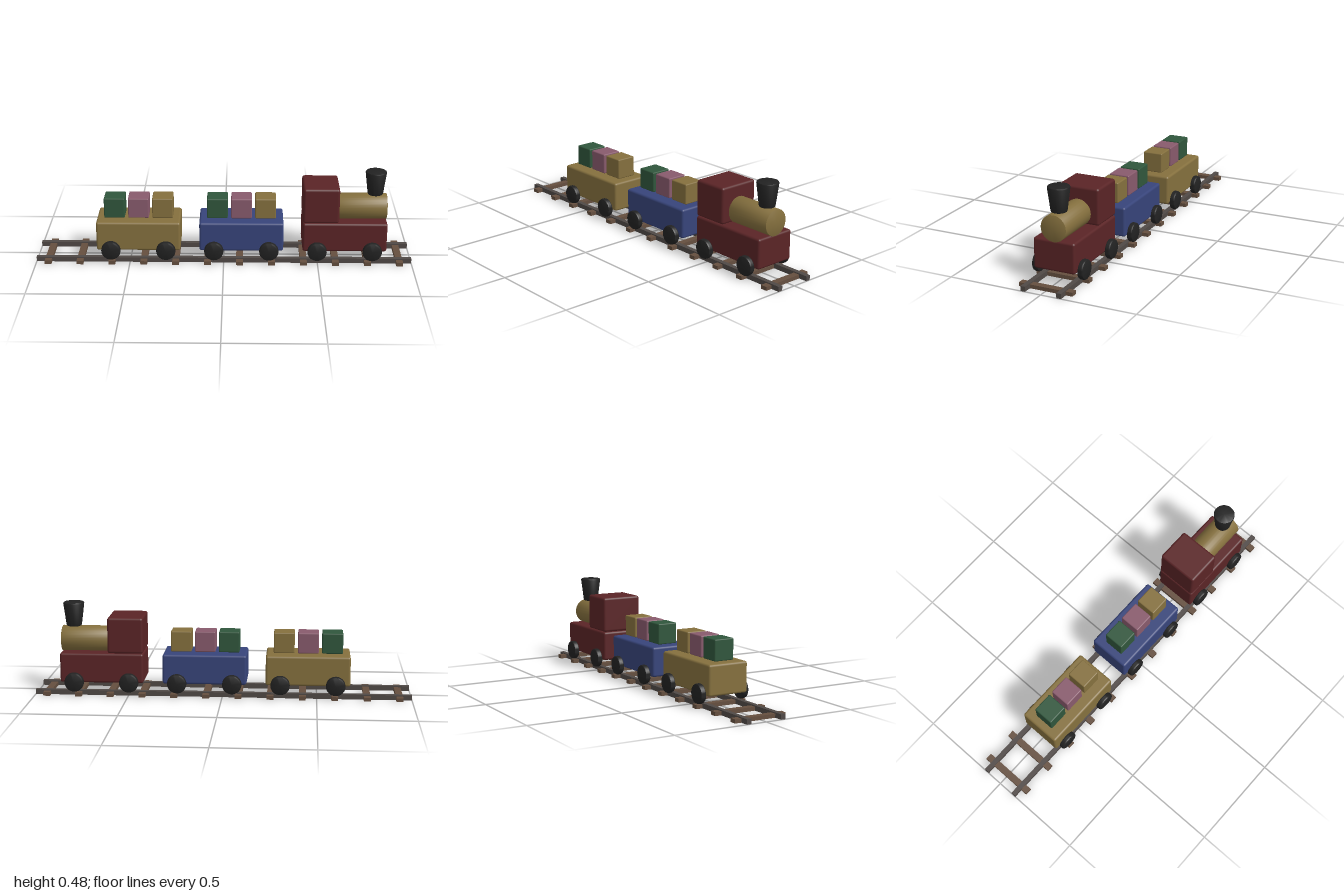
import * as THREE from 'three';
import { toCreasedNormals } from 'three/addons/utils/BufferGeometryUtils.js';
import { RoundedBoxGeometry } from 'three/addons/geometries/RoundedBoxGeometry.js';

const material = (name, color) => {
  const m = new THREE.MeshStandardMaterial({ color });
  m.name = name;
  return m;
};

// Solid of revolution around y with small rounded rims
function roundedDrum(rBottom, rTop, height, bevel, sides = 32) {
  const h = height / 2;
  const k = bevel * 0.3;
  const profile = [
    [0, -h], [rBottom - bevel, -h], [rBottom - k, -h + k], [rBottom, -h + bevel],
    [rTop, h - bevel], [rTop - k, h - k], [rTop - bevel, h], [0, h],
  ].map(([x, y]) => new THREE.Vector2(x, y));
  return toCreasedNormals(new THREE.LatheGeometry(profile, sides), 0.6);
}

export function createModel() {
  const model = new THREE.Group();
  model.name = 'toyTrain';

  const red = material('dark red', 0x5a2426);
  const gold = material('mustard', 0x85703e);
  const blue = material('blue', 0x37447a);
  const green = material('green', 0x30563c);
  const pink = material('pink', 0x885a6c);
  const black = material('black', 0x222222);
  const wood = material('sleeper wood', 0x654f3f);
  const steel = material('rail steel', 0x504946);

  const add = (parent, name, geometry, mat, x, y, z) => {
    const mesh = new THREE.Mesh(geometry, mat);
    mesh.name = name;
    mesh.position.set(x, y, z);
    parent.add(mesh);
    return mesh;
  };

  // Track: two rails across twelve sleepers
  const track = new THREE.Group();
  track.name = 'track';
  model.add(track);
  const railGeometry = new THREE.BoxGeometry(2, 0.026, 0.025);
  for (const side of [-1, 1]) add(track, 'rail', railGeometry, steel, 0, 0.013, side * 0.097);
  const sleeperGeometry = new THREE.BoxGeometry(0.036, 0.02, 0.29);
  for (let i = 0; i < 12; i++) {
    add(track, 'sleeper', sleeperGeometry, wood, -0.935 + i * 0.17, 0.01, 0);
  }

  // Chassis block with four wheels, shared by engine and wagons
  const bodyGeometry = new RoundedBoxGeometry(0.446, 0.159, 0.224, 3, 0.012);
  const wheelGeometry = roundedDrum(0.051, 0.051, 0.032, 0.009).rotateX(Math.PI / 2);
  const makeCar = (name, x, bodyMaterial) => {
    const car = new THREE.Group();
    car.name = name;
    car.position.x = x;
    model.add(car);
    add(car, 'body', bodyGeometry, bodyMaterial, 0, 0.147, 0);
    for (const wx of [-0.146, 0.146]) {
      for (const wz of [-0.124, 0.124]) add(car, 'wheel', wheelGeometry, black, wx, 0.073, wz);
    }
    return car;
  };

  // Cargo wagons, each carrying three blocks
  const cargoGeometry = new RoundedBoxGeometry(0.11, 0.11, 0.11, 2, 0.006);
  for (const [name, x, mat] of [['rearWagon', -0.453, gold], ['middleWagon', 0.094, blue]]) {
    const wagon = makeCar(name, x, mat);
    [green, pink, gold].forEach((cargo, i) => {
      add(wagon, 'cargoBlock', cargoGeometry, cargo, (i - 1) * 0.128, 0.286, 0);
    });
  }

  // Engine with cab, boiler and flared chimney
  const engine = makeCar('engine', 0.642, red);
  add(engine, 'cab', new RoundedBoxGeometry(0.19, 0.192, 0.224, 3, 0.013), red, -0.128, 0.324, 0);
  const boiler = roundedDrum(0.069, 0.069, 0.26, 0.003).rotateZ(-Math.PI / 2);
  add(engine, 'boiler', boiler, gold, 0.093, 0.287, 0);
  add(engine, 'chimney', roundedDrum(0.041, 0.056, 0.13, 0.007), black, 0.161, 0.42, 0);

  return model;
}
